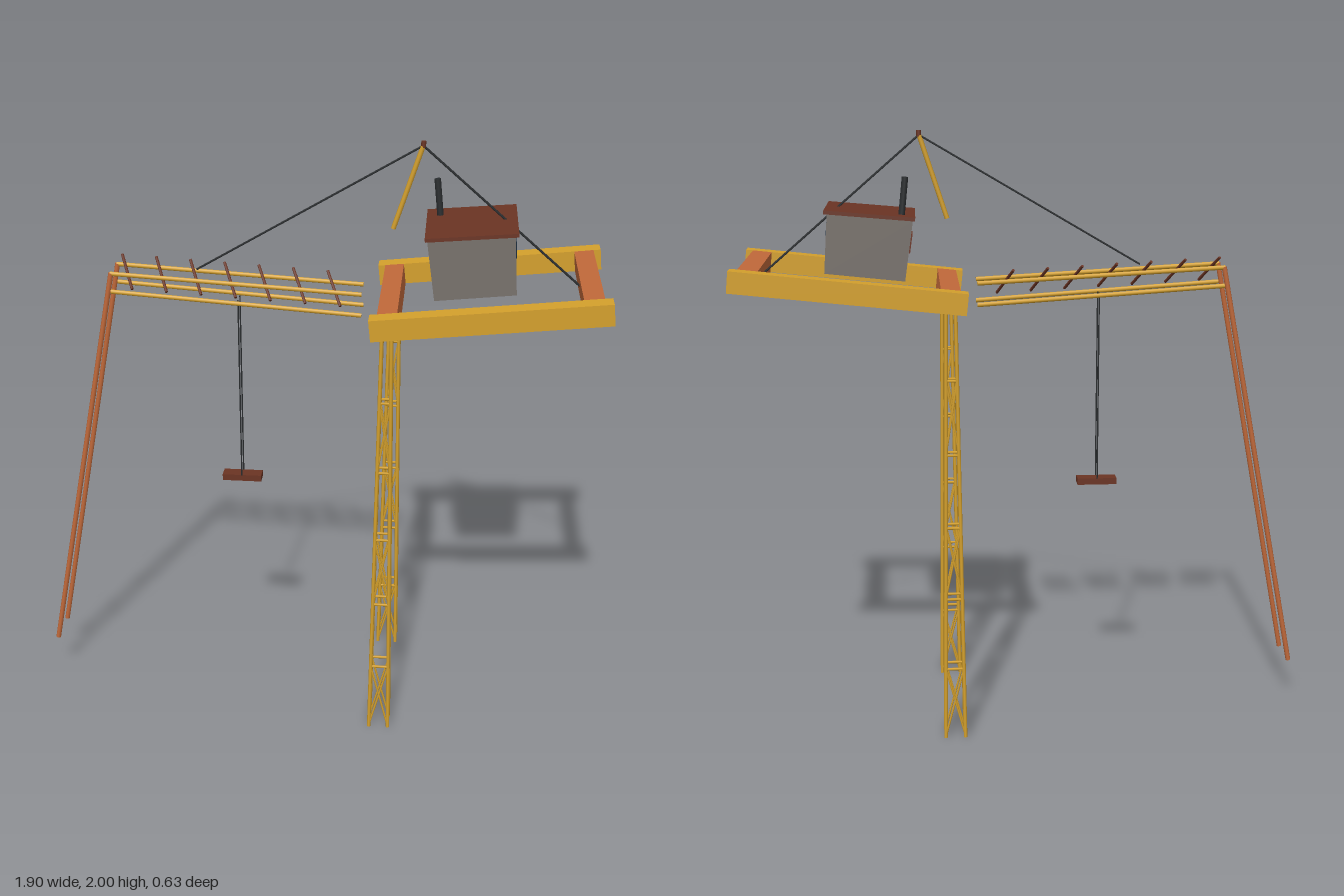
import * as THREE from 'three';

const mat = (name, color) => {
  const m = new THREE.MeshStandardMaterial({ color });
  m.name = name;
  return m;
};

export function createModel() {
  const yellow = mat('yellow paint', 0xd4a02c);
  const orange = mat('orange paint', 0xc1693a);
  const brown = mat('rust brown', 0x6b3423);
  const grey = mat('cabin grey', 0x77716b);
  const glass = mat('dark glass', 0x16293b);
  const dark = mat('dark steel', 0x2a2d2f);

  const root = new THREE.Group();
  root.name = 'craneStation';

  const group = (name, parent = root) => {
    const g = new THREE.Group();
    g.name = name;
    parent.add(g);
    return g;
  };
  const box = (parent, name, size, pos, material) => {
    const m = new THREE.Mesh(new THREE.BoxGeometry(...size), material);
    m.name = name;
    m.position.set(...pos);
    parent.add(m);
    return m;
  };
  // Round bar between two points
  const bar = (parent, name, a, b, r, material, sides = 8) => {
    const p = new THREE.Vector3(...a), q = new THREE.Vector3(...b);
    const d = q.clone().sub(p);
    const m = new THREE.Mesh(new THREE.CylinderGeometry(r, r, d.length(), sides), material);
    m.name = name;
    m.position.copy(p).add(q).multiplyScalar(0.5);
    m.quaternion.setFromUnitVectors(new THREE.Vector3(0, 1, 0), d.normalize());
    parent.add(m);
    return m;
  };

  // Lattice towers: four tapering posts, rings, crossed braces in every other bay
  const corners = [[-1, -1], [1, -1], [1, 1], [-1, 1]];
  const bay = 0.245;
  for (const side of [-1, 1]) {
    const tower = group(side > 0 ? 'frontTower' : 'backTower');
    tower.position.set(0.25, 0, side * 0.277);
    const at = (i, y) => {
      const h = 0.033 - 0.018 * (y / 1.47);
      const [cx, cz] = corners[i % 4];
      return [cx * h, y, cz * h];
    };
    for (let i = 0; i < 4; i++) {
      bar(tower, 'towerPost', at(i, 0), at(i, 1.46), 0.006, yellow);
      for (let k = 1; k <= 5; k++) {
        bar(tower, 'towerRing', at(i, k * bay), at(i + 1, k * bay), 0.0045, yellow, 6);
      }
      for (let k = 0; k < 5; k += 2) {
        const lo = k * bay + 0.005, hi = (k + 1) * bay;
        bar(tower, 'towerBrace', at(i, lo), at(i + 1, hi), 0.0035, yellow, 6);
        bar(tower, 'towerBrace', at(i + 1, lo), at(i, hi), 0.0035, yellow, 6);
      }
    }
  }

  // Tilted platform frame
  const platform = group('platform');
  platform.position.set(0.57, 1.511, 0);
  platform.rotation.z = 0.107;
  for (const s of [-1, 1]) {
    box(platform, 'sideBeam', [0.752, 0.07, 0.06], [0, 0, s * 0.277], yellow);
    box(platform, 'crossBeam', [0.064, 0.07, 0.496], [s * 0.32, 0, 0], orange);
  }

  // Cabin, slightly wider at the top along its length
  const cabin = group('cabin', platform);
  cabin.position.set(-0.045, 0.035, 0);
  const wallGeo = new THREE.BoxGeometry(0.26, 0.195, 0.32);
  const p = wallGeo.attributes.position;
  for (let i = 0; i < p.count; i++) if (p.getY(i) > 0) p.setX(i, p.getX(i) * 1.055);
  wallGeo.computeVertexNormals();
  const walls = new THREE.Mesh(wallGeo, grey);
  walls.name = 'cabinWalls';
  walls.position.y = 0.0975;
  cabin.add(walls);
  const roof = box(cabin, 'cabinRoof', [0.292, 0.012, 0.336], [0.002, 0.199, 0], brown);
  roof.rotation.z = -0.02;
  const win = box(cabin, 'cabinWindow', [0.008, 0.056, 0.19], [0.1345, 0.128, 0], glass);
  win.rotation.z = -0.036;
  const hatch = box(cabin, 'cabinHatch', [0.009, 0.06, 0.12], [-0.1355, 0.11, 0], brown);
  hatch.rotation.z = 0.036;
  bar(cabin, 'chimney', [-0.1, 0.19, -0.092], [-0.1, 0.328, -0.092], 0.011, dark, 10);

  // Leaning mast with a cap, and stay cables
  const mast = group('mast');
  bar(mast, 'mastPole', [0.251, 1.713, 0], [0.339, 1.983, 0], 0.008, yellow);
  bar(mast, 'mastCap', [0.34, 1.98, 0], [0.341, 2, 0], 0.008, brown);
  bar(mast, 'rearCable', [0.34, 1.985, 0], [0.86, 1.537, 0], 0.004, dark, 6);
  bar(mast, 'boomCable', [0.34, 1.985, 0], [-0.395, 1.555, 0], 0.0035, dark, 6);

  // Boom: four rails and seven slanting rungs
  const boom = group('boom');
  for (const s of [-1, 1]) {
    bar(boom, 'upperRail', [-0.675, 1.548, s * 0.052], [0.155, 1.503, s * 0.052], 0.0075, yellow);
    bar(boom, 'lowerRail', [-0.675, 1.486, s * 0.052], [0.155, 1.431, s * 0.052], 0.0075, yellow);
    // Long prop legs at the far end
    bar(boom, 'propLeg', [-0.672, 1.55, s * 0.052], [-0.945, 0.142, s * 0.066], 0.0085, orange);
  }
  for (let i = 0; i < 7; i++) {
    const x = -0.655 + i * 0.115, y = 1.582 - i * 0.006;
    bar(boom, 'rung', [x, y, -0.055], [x + 0.05, y - 0.088, 0.045], 0.005, brown, 6);
  }

  // Hanging load on two ropes
  const load = group('load');
  box(load, 'loadBlock', [0.135, 0.022, 0.046], [-0.256, 0.805, 0], brown);
  for (const s of [-1, 1]) {
    bar(load, 'loadRope', [-0.256, 0.815, s * 0.023], [-0.256, 1.46, s * 0.023], 0.0025, dark, 6);
  }
  return root;
}
